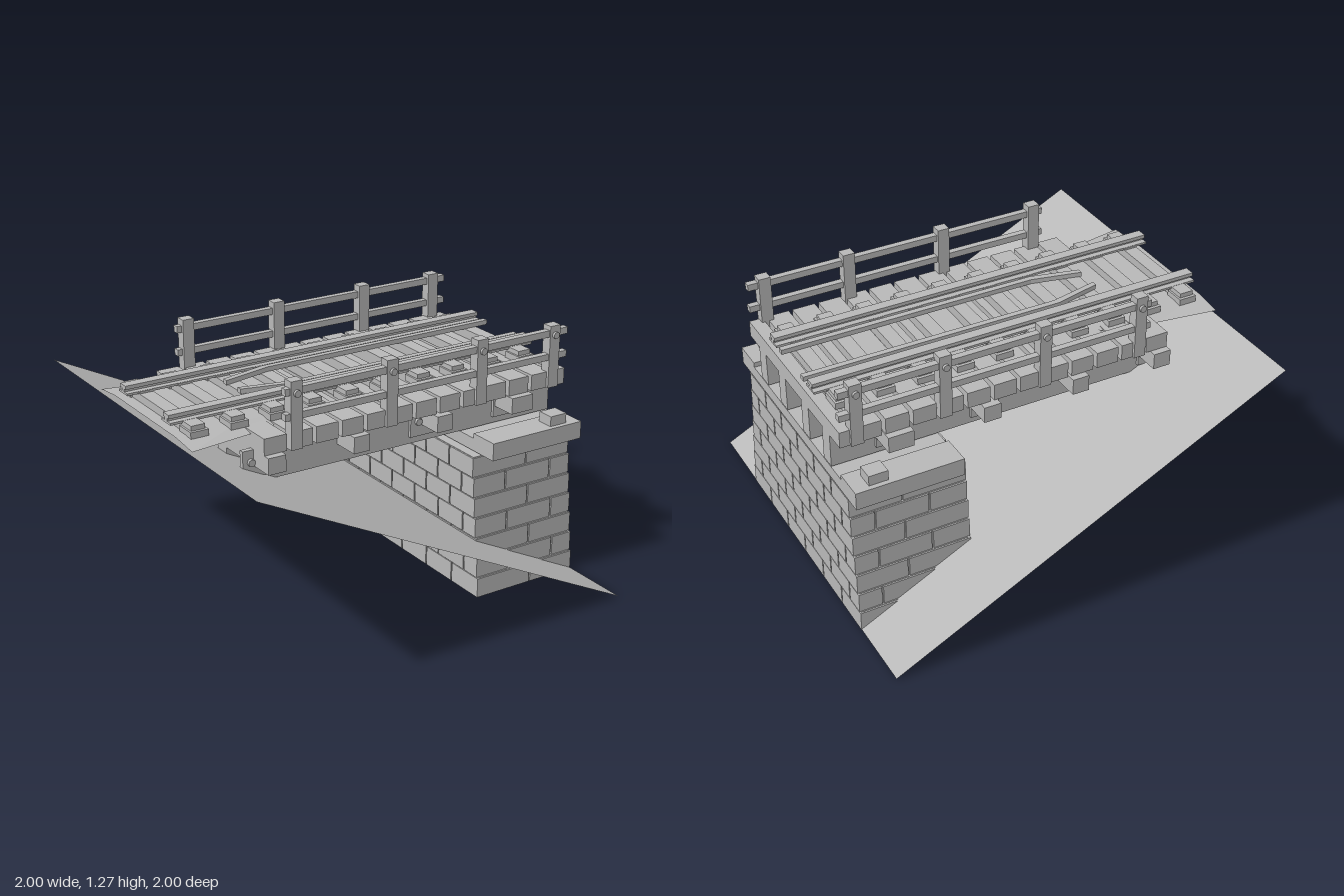
import * as THREE from 'three';

const stone = new THREE.MeshStandardMaterial({ color: 0xb8b8b8, side: THREE.DoubleSide });
stone.name = 'plain grey';

export function createModel() {
  const model = new THREE.Group();
  model.name = 'railwayBridgeEnd';

  const group = (name) => {
    const g = new THREE.Group();
    g.name = name;
    model.add(g);
    return g;
  };
  // Box given by its limits on each axis
  const box = (parent, name, x0, x1, y0, y1, z0, z1) => {
    const m = new THREE.Mesh(new THREE.BoxGeometry(x1 - x0, y1 - y0, Math.abs(z1 - z0)), stone);
    m.position.set((x0 + x1) / 2, (y0 + y1) / 2, (z0 + z1) / 2);
    m.name = name;
    parent.add(m);
    return m;
  };
  // The same box on both sides of the track
  const pair = (parent, name, x0, x1, y0, y1, z0, z1) => {
    for (const s of [1, -1]) box(parent, name, x0, x1, y0, y1, s * z0, s * z1);
  };
  // Sheet lofted through rows of points
  const sheet = (name, rows) => {
    const n = rows[0].length, index = [];
    for (let i = 0; i < rows.length - 1; i++) {
      for (let j = 0; j < n - 1; j++) {
        const a = i * n + j, b = a + n;
        index.push(a, a + 1, b, a + 1, b + 1, b);
      }
    }
    const g = new THREE.BufferGeometry();
    g.setAttribute('position', new THREE.Float32BufferAttribute(rows.flat(2), 3));
    g.setIndex(index);
    const flat = g.toNonIndexed();
    flat.computeVertexNormals();
    const m = new THREE.Mesh(flat, stone);
    m.name = name;
    model.add(m);
  };

  // Sloping bank and the thin ballast bed at its crest
  sheet('bank', [[[-1, 1, -1], [-1, 1, 1]], [[1, 0.005, -1], [1, 0.005, 1]]]);
  const bedRow = (x, inner, outer, edgeY) => [
    [x, edgeY, -outer], [x, 1.036, -inner], [x, 1.036, inner], [x, edgeY, outer]];
  sheet('ballastBed', [bedRow(-1, 0.3, 0.45, 1.02), bedRow(-0.7, 0.3, 0.4, 1.016), bedRow(-0.2, 0.25, 0.3, 1.03)]);

  // Battered stone pier, staggered blocks around a recessed core
  const pier = group('pier');
  const courses = 7, h = 0.101, gap = 0.004;
  for (let i = 0; i < courses; i++) {
    const half = 0.637 - i * 0.0115, y0 = i * h, y1 = y0 + h;
    box(pier, 'pierCore', 0.428, 0.992, y0, y1, -half + 0.008, half - 0.008);
    const size = (2 * half) / 6;
    const cuts = [-half];
    for (let k = 0; k < 6; k++) {
      const c = -half + size * (k + (i % 2 ? 0.5 : 1));
      if (c < half - 0.01) cuts.push(c);
    }
    cuts.push(half);
    const xs = i % 2 ? [0.42, 0.61, 0.88, 1] : [0.42, 0.74, 1];
    for (let k = 0; k < cuts.length - 1; k++) {
      for (let j = 0; j < xs.length - 1; j++) {
        box(pier, 'stoneBlock', xs[j] + (j ? gap : 0), xs[j + 1] - (j < xs.length - 2 ? gap : 0),
          y0 + (i ? gap / 2 : 0), y1 - gap / 2, cuts[k] + (k ? gap : 0), cuts[k + 1] - (k < cuts.length - 2 ? gap : 0));
      }
    }
  }
  box(pier, 'pierCap', 0.47, 1, 0.712, 0.775, -0.65, 0.65);
  pair(pier, 'capStone', 0.47, 1, 0.712, 0.8, 0.5, 0.655);
  pair(pier, 'capBlock', 0.83, 0.925, 0.8, 0.85, 0.545, 0.63);

  // Long girders with cross beams and bolted plates
  const frame = group('bridgeFrame');
  for (const z of [0.36, 0.13]) pair(frame, 'girder', -0.68, 1, 0.78, 0.95, z - 0.04, z + 0.04);
  for (const [x0, x1] of [[-0.68, -0.59], [-0.235, -0.15], [0.225, 0.31], [0.66, 0.785]]) {
    box(frame, 'crossBeam', x0, x1, 0.87, 0.95, -0.545, 0.545);
  }
  for (const [x0, x1] of [[-0.735, -0.59], [0.165, 0.31], [0.65, 0.785]]) {
    pair(frame, 'girderPlate', x0, x1, 0.815, 0.948, 0.39, 0.415);
    for (const s of [1, -1]) {
      const bolt = new THREE.Mesh(new THREE.CylinderGeometry(0.018, 0.018, 0.02, 8), stone);
      bolt.rotation.x = Math.PI / 2;
      bolt.position.set(x0 + 0.04, 0.89, s * 0.42);
      bolt.name = 'plateBolt';
      frame.add(bolt);
    }
  }

  // Deck timbers across the girders
  const deck = group('deck');
  for (let i = 0; i < 13; i++) {
    const x = -0.68 + i * 0.1345;
    box(deck, 'deckTimber', x, Math.min(x + 0.115, 1), 0.95, 1.03, -0.51, 0.51);
  }
  box(deck, 'endBlock', 0.95, 1, 0.95, 1.02, -0.09, 0.09);

  // Sleepers with rail chairs
  const track = group('track');
  for (let i = 0; i < 10; i++) {
    const x = -0.905 + i * 0.2;
    box(track, 'sleeper', x - 0.035, x + 0.035, 1.03, 1.075, -0.325, 0.325);
    pair(track, 'chair', x - 0.045, x + 0.045, 1.03, 1.062, 0.24, 0.345);
    pair(track, 'chairTop', x - 0.035, x + 0.035, 1.062, 1.085, 0.165, 0.33);
  }
  // Running rails: foot, web and head
  const r = 0.212;
  pair(track, 'railFoot', -1, 1, 1.075, 1.086, r - 0.042, r + 0.042);
  pair(track, 'railWeb', -1, 1, 1.086, 1.1, r - 0.012, r + 0.012);
  pair(track, 'railHead', -1, 1, 1.1, 1.118, r - 0.026, r + 0.026);
  // Guard rails bending inwards at the open end
  for (const s of [1, -1]) {
    const shape = new THREE.Shape([[-0.55, 0.052], [-0.3, 0.108], [1, 0.108], [1, 0.138], [-0.31, 0.138], [-0.55, 0.08]]
      .map(([x, z]) => new THREE.Vector2(x, s * z)));
    const g = new THREE.ExtrudeGeometry(shape, { depth: 0.024, bevelEnabled: false });
    g.rotateX(-Math.PI / 2);
    const m = new THREE.Mesh(g, stone);
    m.position.y = 1.074;
    m.name = 'guardRail';
    track.add(m);
  }

  // Fences on both edges
  const fence = group('fence');
  for (const x of [-0.52, -0.015, 0.49, 0.92]) {
    pair(fence, 'fencePost', x - 0.03, x + 0.03, 0.95, x > 0.9 ? 1.262 : 1.272, 0.47, 0.524);
    for (const s of [1, -1]) {
      const bolt = new THREE.Mesh(new THREE.CylinderGeometry(0.017, 0.017, 0.014, 10), stone);
      bolt.rotation.x = Math.PI / 2;
      bolt.position.set(x, 1.215, s * 0.53);
      bolt.name = 'postBolt';
      fence.add(bolt);
    }
  }
  pair(fence, 'topRail', -0.575, 1, 1.207, 1.24, 0.485, 0.518);
  pair(fence, 'lowerRail', -0.575, 1, 1.09, 1.122, 0.485, 0.518);

  return model;
}
